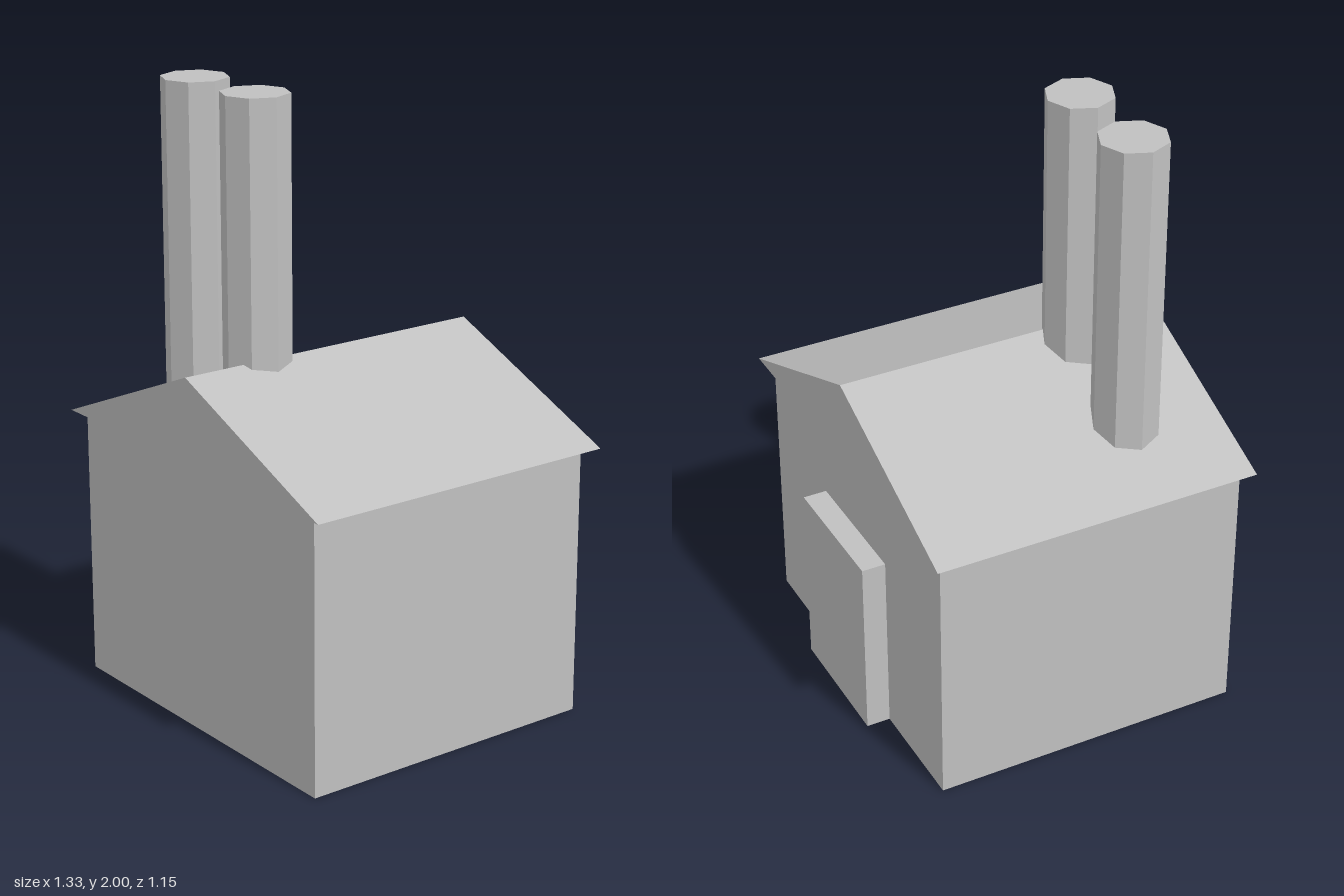
import * as THREE from 'three';

export function createModel() {
  const model = new THREE.Group();
  const grey = new THREE.MeshStandardMaterial({ color: 0xc0c0c0 });
  grey.name = 'plain grey';
  grey.flatShading = true;

  const add = (name, geometry, x, y, z) => {
    const mesh = new THREE.Mesh(geometry, grey);
    mesh.name = name;
    mesh.position.set(x, y, z);
    model.add(mesh);
  };

  // Walls
  add('walls', new THREE.BoxGeometry(1.222, 0.895, 1.04), 0, 0.4475, 0.025);

  // Gabled roof with a small overhang, ridge running front to back
  const gable = new THREE.Shape([
    new THREE.Vector2(-0.665, 0),
    new THREE.Vector2(0.665, 0),
    new THREE.Vector2(0, 0.275),
  ]);
  const roof = new THREE.ExtrudeGeometry(gable, { depth: 1.1, bevelEnabled: false });
  add('roof', roof, 0, 0.895, -0.528);

  // Raised door slab on the back wall
  add('door', new THREE.BoxGeometry(0.446, 0.625, 0.085), 0, 0.3125, -0.5315);

  // Two octagonal chimneys rising through the roof
  const base = 0.92;
  [['rightChimney', -0.37], ['leftChimney', -0.05]].forEach(([name, x]) => {
    const stack = new THREE.CylinderGeometry(0.11, 0.11, 2 - base, 8);
    add(name, stack, x, (2 + base) / 2, 0.266);
  });

  return model;
}
